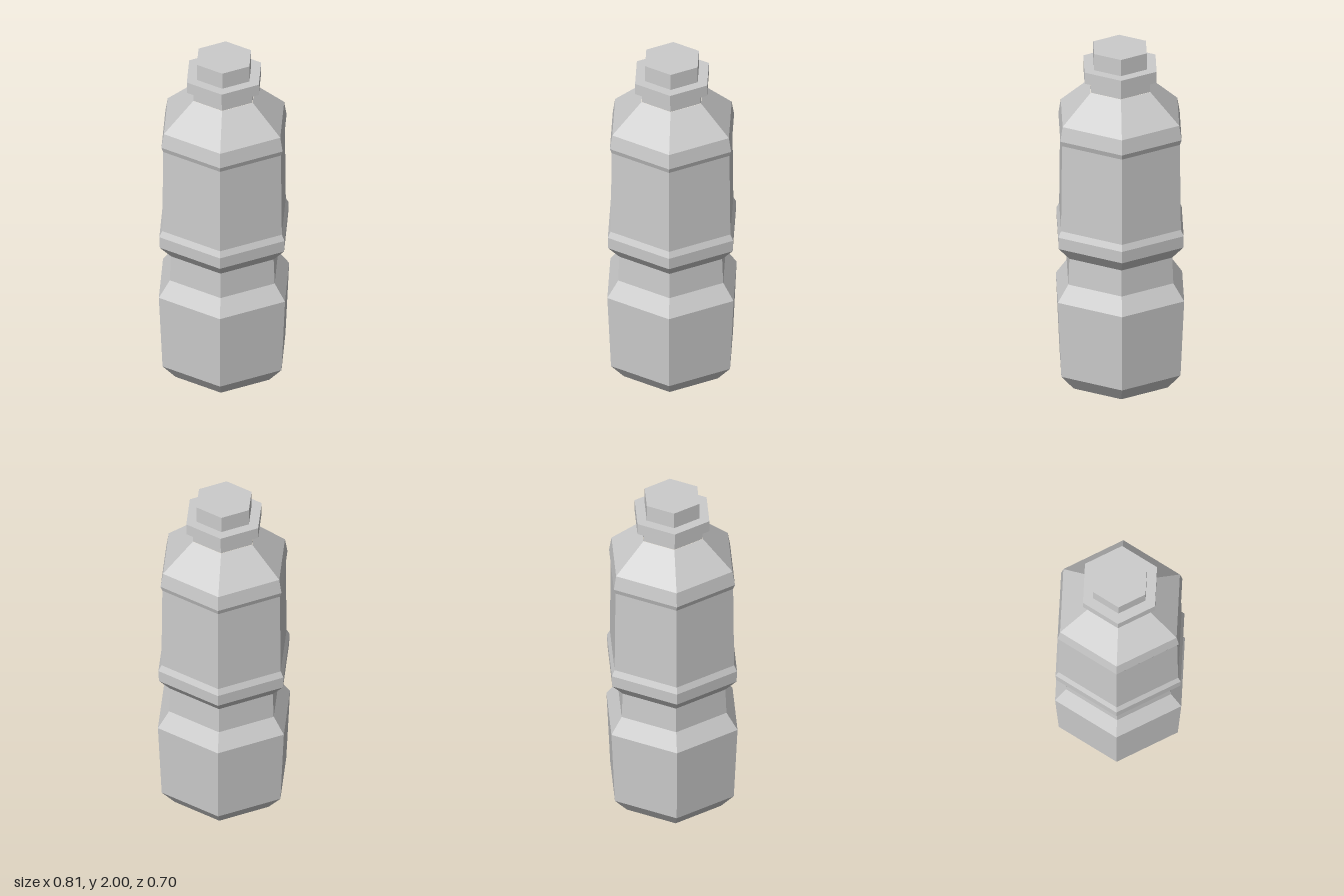
import * as THREE from 'three';

const SIDES = 6;

export function createModel() {
  const model = new THREE.Group();
  model.name = 'bottle';
  const material = new THREE.MeshStandardMaterial({ color: 0xcccccc, flatShading: true });

  // Turns a [radius, height] profile into a hexagonal part with corners on the x axis
  function addPart(name, profile) {
    const points = profile.map(([r, y]) => new THREE.Vector2(r, y));
    const geometry = new THREE.LatheGeometry(points, SIDES, Math.PI / 2);
    const mesh = new THREE.Mesh(geometry, material);
    mesh.name = name;
    model.add(mesh);
  }

  // Base, grip waist, label panel and shoulder
  addPart('body', [
    [0, 0], [0.30, 0], [0.38, 0.09], [0.403, 0.545],
    [0.335, 0.64], [0.328, 0.795],
    [0.397, 0.87], [0.4, 0.94], [0.382, 0.975],
    [0.376, 1.49], [0.387, 1.52], [0.372, 1.605], [0.19, 1.77],
  ]);

  addPart('neck', [[0.188, 1.77], [0.188, 1.835]]);

  addPart('neckRing', [[0, 1.835], [0.23, 1.835], [0.23, 1.902], [0, 1.902]]);

  addPart('cap', [[0.168, 1.902], [0.168, 2], [0, 2]]);

  return model;
}
